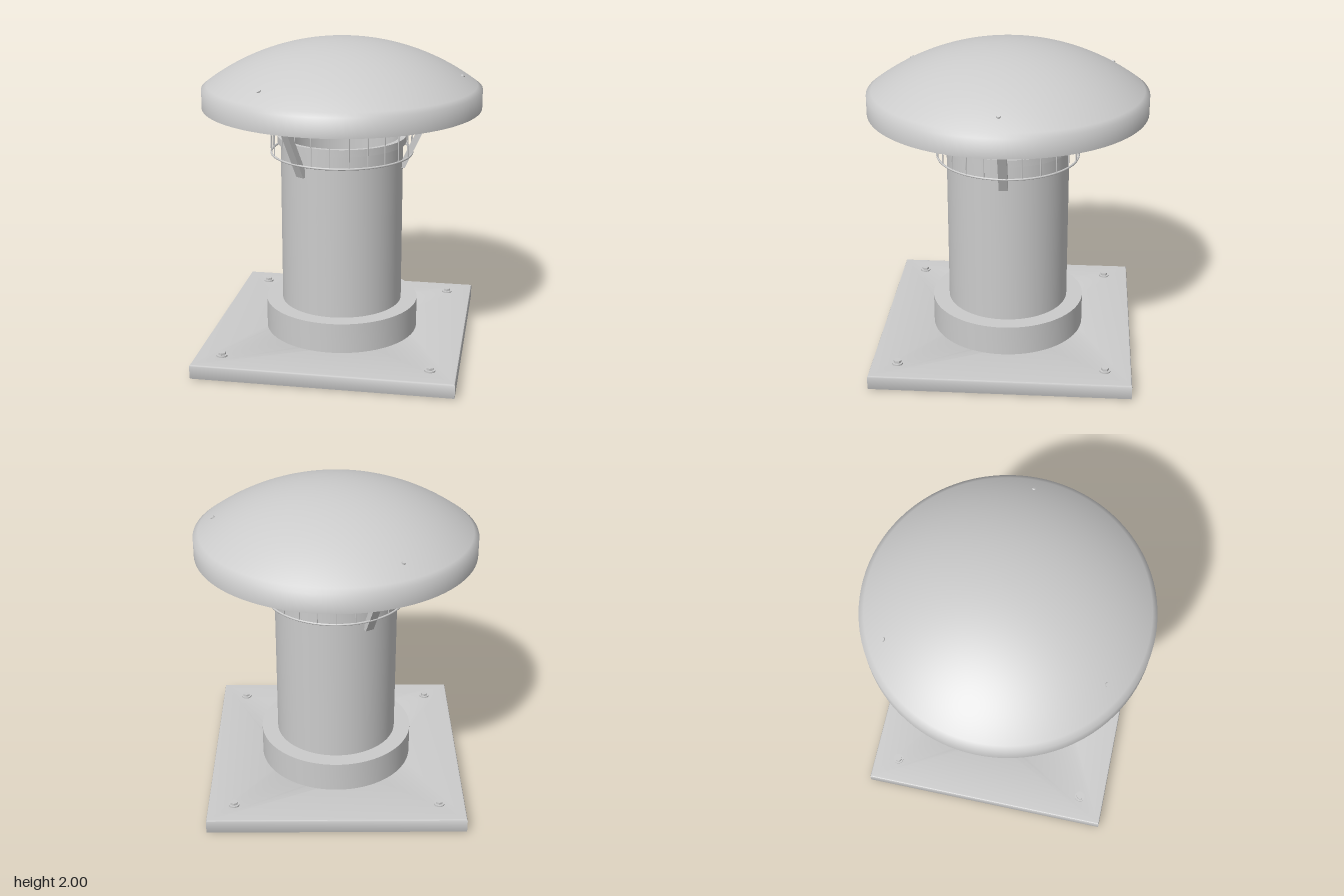
import * as THREE from 'three';
import { toCreasedNormals } from 'three/addons/utils/BufferGeometryUtils.js';

const metal = new THREE.MeshStandardMaterial({ color: 0xcccccc });

function add(parent, name, geometry) {
  const mesh = new THREE.Mesh(geometry, metal);
  mesh.name = name;
  parent.add(mesh);
  return mesh;
}

function lathe(points, crease = 0.6) {
  const g = new THREE.LatheGeometry(points.map(([r, y]) => new THREE.Vector2(r, y)), 96);
  return toCreasedNormals(g, crease);
}

// Hollow round part between two radii and two heights
function sleeve(inner, outer, y0, y1) {
  return lathe([[inner, y0], [outer, y0], [outer, y1], [inner, y1], [inner, y0]]);
}

// Points of the dome arc from the rim (r) to the apex
function domeArc(r, top, sag, n = 24) {
  const R = (r * r + sag * sag) / (2 * sag);
  const a = Math.asin(r / R);
  return Array.from({ length: n + 1 }, (_, i) => {
    const t = a * (1 - i / n);
    return [R * Math.sin(t), top - R + R * Math.cos(t)];
  });
}

export function createModel() {
  const model = new THREE.Group();
  model.name = 'roofVent';

  // Square base plate with a round opening
  const h = 0.805;
  const square = new THREE.Shape([[-h, -h], [h, -h], [h, h], [-h, h]].map(p => new THREE.Vector2(...p)));
  square.holes.push(new THREE.Path().absarc(0, 0, 0.385, 0, Math.PI * 2, true));
  const plate = new THREE.ExtrudeGeometry(square, {
    depth: 0.075, bevelThickness: 0.01, bevelSize: 0.01, bevelSegments: 2, curveSegments: 48,
  });
  plate.rotateX(-Math.PI / 2).translate(0, 0.01, 0);
  add(model, 'basePlate', toCreasedNormals(plate, 0.5));

  // Corner bolts
  for (const x of [-0.65, 0.65]) for (const z of [-0.65, 0.65]) {
    const bolt = new THREE.Group();
    bolt.name = 'bolt';
    bolt.position.set(x, 0.095, z);
    add(bolt, 'washer', new THREE.CylinderGeometry(0.034, 0.034, 0.01, 32)).position.y = 0.005;
    add(bolt, 'hexHead', toCreasedNormals(new THREE.CylinderGeometry(0.024, 0.024, 0.015, 6), 0.5)).position.y = 0.0175;
    model.add(bolt);
  }

  // Collar, pipe and the lip round its mouth
  add(model, 'collar', sleeve(0.385, 0.495, 0.09, 0.29));
  add(model, 'pipe', sleeve(0.37, 0.39, 0.09, 1.385));
  add(model, 'pipeLip', sleeve(0.385, 0.41, 1.345, 1.39));

  // Domed rain cap: thin shell with a short straight rim
  add(model, 'cap', lathe([
    [0.868, 1.58], [0.88, 1.58], ...domeArc(0.88, 2, 0.3),
    ...domeArc(0.868, 1.988, 0.295).reverse(), [0.868, 1.58],
  ], 1.0));

  // Wire guard
  const guard = new THREE.Group();
  guard.name = 'wireGuard';
  for (const y of [1.28, 1.65]) {
    const ring = add(guard, 'guardRing', new THREE.TorusGeometry(0.45, 0.007, 8, 96));
    ring.rotation.x = Math.PI / 2;
    ring.position.y = y;
  }
  for (let i = 0; i < 24; i++) {
    const a = (i / 24) * Math.PI * 2;
    const wire = add(guard, 'guardWire', new THREE.CylinderGeometry(0.004, 0.004, 0.37, 8));
    wire.position.set(0.45 * Math.cos(a), 1.465, 0.45 * Math.sin(a));
  }
  model.add(guard);

  // Three cap struts: upright foot, sloping arm, tab under the cap
  const side = new THREE.Shape([
    [0.388, 1.19], [0.408, 1.19], [0.59, 1.58], [0.68, 1.775], [0.77, 1.725],
    [0.78, 1.745], [0.645, 1.825], [0.548, 1.58], [0.388, 1.235],
  ].map(p => new THREE.Vector2(...p)));
  const strutGeometry = new THREE.ExtrudeGeometry(side, { depth: 0.056, bevelEnabled: false });
  strutGeometry.translate(0, 0, -0.028);
  for (let i = 0; i < 3; i++) {
    const support = new THREE.Group();
    support.name = 'capSupport';
    support.rotation.y = (i * Math.PI * 2) / 3;
    add(support, 'strut', strutGeometry);
    // Screw head on top of the cap
    const screw = add(support, 'capScrew', new THREE.CylinderGeometry(0.012, 0.014, 0.016, 16));
    screw.position.set(0.755, 1.787, 0);
    screw.rotation.z = -0.55;
    model.add(support);
  }

  return model;
}
